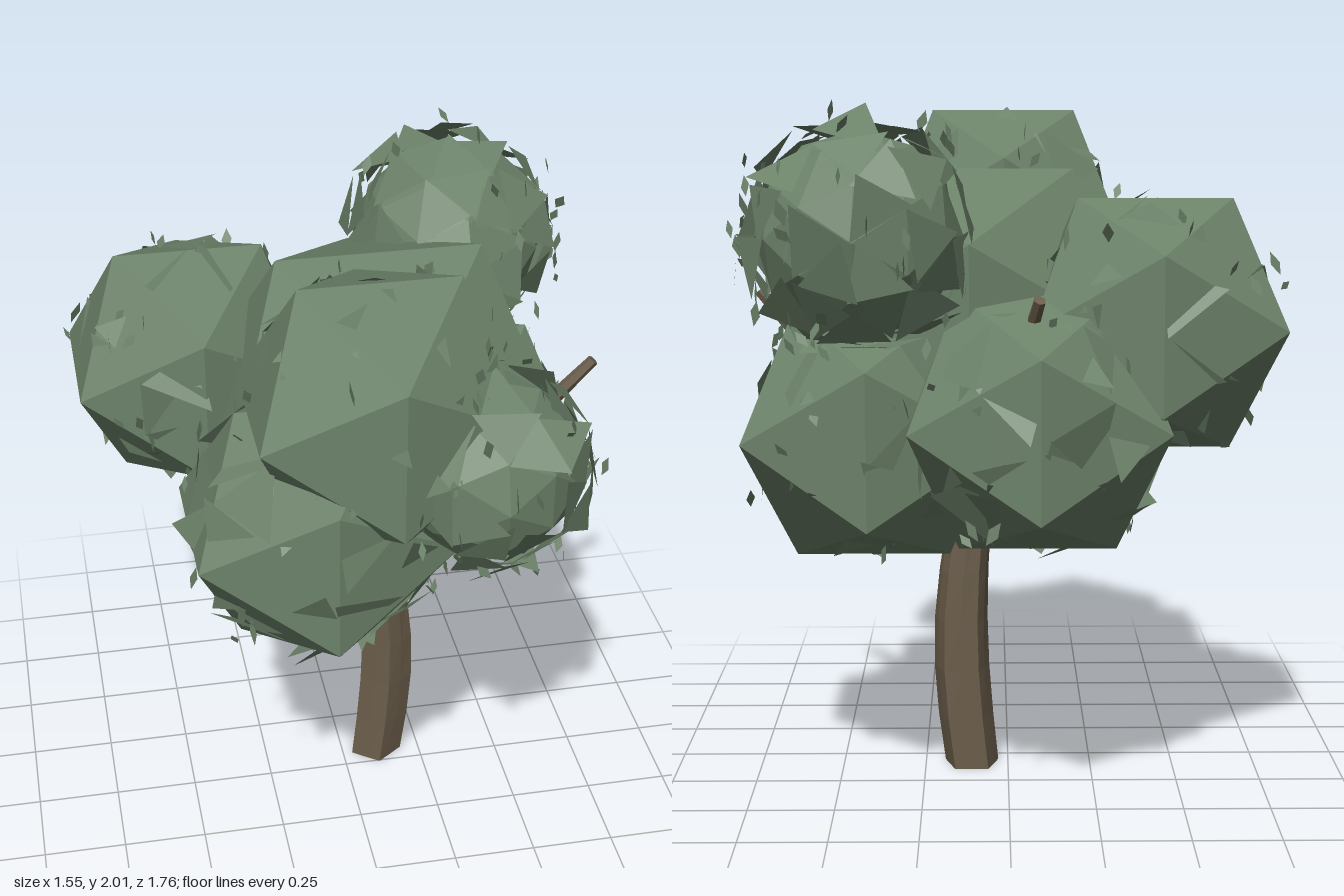
import * as THREE from 'three';

let seed = 7;
const rand = () => {
  seed = (seed * 16807) % 2147483647;
  return seed / 2147483647;
};
const spread = (s) => (rand() * 2 - 1) * s;

const foliage = new THREE.MeshStandardMaterial({ color: 0x6c8269, flatShading: true, side: THREE.DoubleSide });
foliage.name = 'foliage green';
const bark = new THREE.MeshStandardMaterial({ color: 0x6a5d4a, flatShading: true });
bark.name = 'bark brown';

function mesh(name, geometry, material) {
  const m = new THREE.Mesh(geometry, material);
  m.name = name;
  return m;
}

function fromPoints(points) {
  const g = new THREE.BufferGeometry().setFromPoints(points);
  g.computeVertexNormals();
  return g;
}

// Loose triangular shards: faces of a ball, tilted and pushed in or out
function shards(radius, keep, tilt, push) {
  const pos = new THREE.IcosahedronGeometry(radius, 1).attributes.position;
  const out = [];
  for (let i = 0; i < pos.count; i += 3) {
    if (rand() > keep) continue;
    const tri = [0, 1, 2].map((k) => new THREE.Vector3().fromBufferAttribute(pos, i + k));
    const mid = tri[0].clone().add(tri[1]).add(tri[2]).divideScalar(3);
    const turn = new THREE.Euler(spread(tilt), spread(tilt), spread(tilt));
    const moved = mid.clone().multiplyScalar(1 + spread(push));
    tri.forEach((p) => out.push(p.sub(mid).applyEuler(turn).add(moved)));
  }
  return fromPoints(out);
}

// Small diamond leaves scattered over a ball
function leaves(radius, count) {
  const out = [];
  for (let i = 0; i < count; i++) {
    const y = spread(1), a = rand() * Math.PI * 2, s = Math.sqrt(1 - y * y);
    const at = new THREE.Vector3(s * Math.cos(a), y, s * Math.sin(a)).multiplyScalar(radius * (1 + spread(0.07)));
    const turn = new THREE.Euler(spread(0.8), spread(3), spread(0.8));
    const size = 0.02 + rand() * 0.012;
    const [t, r, b, l] = [[0, 1.2], [0.55, 0.1], [0, -1.2], [-0.55, -0.1]].map(([px, py]) =>
      new THREE.Vector3(px * size, py * size, 0).applyEuler(turn).add(at));
    out.push(t, l, b, t, b, r);
  }
  return fromPoints(out);
}

// Tapered limb between two points
function limb(name, from, to, r0, r1) {
  const a = new THREE.Vector3(...from), b = new THREE.Vector3(...to);
  const dir = b.clone().sub(a);
  const m = mesh(name, new THREE.CylinderGeometry(r1, r0, dir.length(), 6), bark);
  m.position.copy(a).addScaledVector(dir, 0.5);
  m.quaternion.setFromUnitVectors(new THREE.Vector3(0, 1, 0), dir.normalize());
  return m;
}

// Ridged trunk with a bow to one side
function trunk() {
  const h = 0.76;
  const g = new THREE.CylinderGeometry(1, 1, h, 10, 5);
  const p = g.attributes.position;
  for (let i = 0; i < p.count; i++) {
    const t = p.getY(i) / h + 0.5;
    const a = Math.atan2(p.getZ(i), p.getX(i));
    const r = (0.077 - 0.012 * t) * (1 + 0.1 * Math.sin(5 * a + 1.2 * t));
    const bow = Math.sin(Math.PI * Math.min(1, t * 0.95));
    const k = Math.hypot(p.getX(i), p.getZ(i)) * r;
    p.setXYZ(i, 0.11 + 0.032 * bow + k * Math.cos(a) * (1 + 0.12 * bow), t * h, -0.08 + k * Math.sin(a));
  }
  g.computeVertexNormals();
  return mesh('trunk', g, bark);
}

export function createModel() {
  const tree = new THREE.Group();
  tree.name = 'tree';
  tree.add(trunk());

  // Branches fork from the trunk top; two tips poke out of the crown
  const fork = [0.11, 0.72, -0.08];
  [
    [0.74, 1.44, 0], [-0.08, 1.48, -0.68], [-0.16, 1.2, 0.35],
    [-0.38, 1.35, -0.33], [0.38, 1.02, -0.28], [0.28, 1.45, 0.5],
  ].forEach((tip, i) => tree.add(limb('branch' + (i + 1), fork, tip, 0.045, 0.017)));

  // Crown clumps: name, centre, core radius, core detail, shard radius, shard share, leaf count
  [
    ['middleClump', 0.11, 1.32, -0.09, 0.57, 0, 0, 0, 0],
    ['topFrontClump', 0.01, 1.61, 0.41, 0.42, 0, 0.35, 0.7, 30],
    ['rightClump', -0.41, 1.38, -0.35, 0.415, 0, 0.35, 0.7, 30],
    ['leftLowClump', 0.39, 1.06, -0.29, 0.42, 0, 0.35, 0.7, 30],
    ['backClump', -0.08, 1.12, -0.49, 0.42, 0, 0.36, 0.8, 35],
    ['frontLowClump', -0.16, 1.25, 0.39, 0.42, 0, 0.365, 0.8, 40],
    ['topBackClump', 0.41, 1.64, -0.51, 0.285, 1, 0.325, 0.8, 45],
    ['leftFrontClump', 0.28, 1.46, 0.54, 0.26, 1, 0.295, 0.8, 45],
  ].forEach(([name, x, y, z, r, detail, shardR, share, count]) => {
    const clump = new THREE.Group();
    clump.name = name;
    clump.position.set(x, y, z);
    clump.add(mesh('core', new THREE.IcosahedronGeometry(r, detail), foliage));
    if (count) {
      clump.add(mesh('shards', shards(shardR, share, 0.3, 0.04), foliage));
      clump.add(mesh('leaves', leaves(shardR * 1.06, count), foliage));
    }
    tree.add(clump);
  });
  return tree;
}
